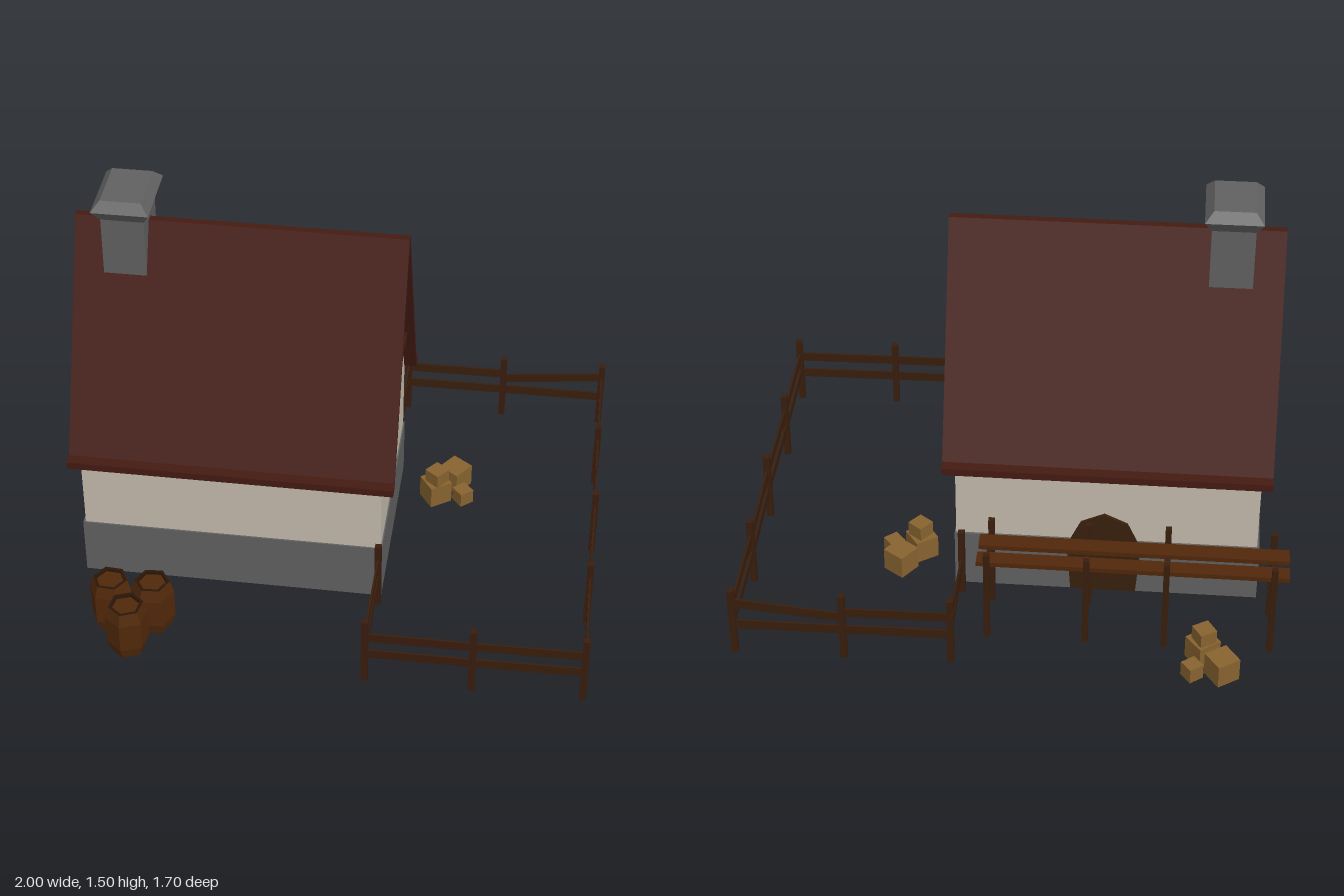
import * as THREE from 'three';

const mat = (color, side = THREE.FrontSide) =>
  new THREE.MeshStandardMaterial({ color, side, flatShading: true });
const MAT = {
  plaster: mat(0xc2b8aa, THREE.DoubleSide), stone: mat(0x606060), roof: mat(0x441a12),
  wood: mat(0x381d0c), plank: mat(0x50270a), barrel: mat(0x502809), hoop: mat(0x2b1608),
  crate: mat(0x86622f), cloth: mat(0x6a2458), door: mat(0x38200d),
};

function add(parent, name, geometry, material, x = 0, y = 0, z = 0) {
  const m = new THREE.Mesh(geometry, material);
  m.name = name;
  m.position.set(x, y, z);
  parent.add(m);
  return m;
}

// Box given by its minimum and maximum corners
function span(parent, name, material, a, b) {
  const s = b.map((v, i) => v - a[i]), c = b.map((v, i) => (v + a[i]) / 2);
  return add(parent, name, new THREE.BoxGeometry(...s), material, ...c);
}

// Shape from [z, y] points, turned so that its depth runs along +x
const sideShape = pts => new THREE.Shape(pts.map(([z, y]) => new THREE.Vector2(-z, y)));
const sideExtrude = (pts, depth) =>
  new THREE.ExtrudeGeometry(sideShape(pts), { depth, bevelEnabled: false }).rotateY(Math.PI / 2);

// Square beam between two points
function beam(parent, name, p, q, height, width, material) {
  const a = new THREE.Vector3(...p), b = new THREE.Vector3(...q);
  const m = add(parent, name, new THREE.BoxGeometry(width, height, a.distanceTo(b)), material);
  m.position.copy(a).add(b).multiplyScalar(0.5);
  m.lookAt(b);
}

function group(parent, name) {
  const g = new THREE.Group();
  g.name = name;
  parent.add(g);
  return g;
}

function buildHouse(root) {
  const house = group(root, 'house');

  // Stone footing: a ring with an open floor (outline and hole wind opposite ways)
  const rect = (C, x0, x1, z0, z1) => new C([[x0, z0], [x1, z0], [x1, z1], [x0, z1]]
    .map(([x, z]) => new THREE.Vector2(x, -z)));
  const ring = rect(THREE.Shape, -0.897, 0.218, 0.387, -0.363);
  ring.holes.push(rect(THREE.Path, -0.887, 0.208, -0.353, 0.377));
  add(house, 'footing', new THREE.ExtrudeGeometry(ring, { depth: 0.23, bevelEnabled: false })
    .rotateX(-Math.PI / 2), MAT.stone, 0, 0.02, 0);

  // Plaster gables and long walls
  const gable = [[0.381, 0.25], [0.381, 0.55], [0.016, 1.365], [-0.353, 0.55], [-0.353, 0.25]];
  for (const x of [-0.888, 0.213])
    add(house, 'gableWall', new THREE.ShapeGeometry(sideShape(gable)).rotateY(Math.PI / 2), MAT.plaster, x);
  for (const z of [0.381, -0.353])
    add(house, 'longWall', new THREE.PlaneGeometry(1.101, 0.3), MAT.plaster, -0.3375, 0.4, z)
      .rotation.y = z < 0 ? Math.PI : 0;

  // Roof: thin folded slab with flat eaves
  const c = 0.016;
  const half = [[0.014, 1.379], [0.368, 0.567], [0.411, 0.567], [0.411, 0.539], [0.362, 0.539]];
  const profile = [...half.map(([z, y]) => [c + z, y]), [c, 1.358],
    ...half.map(([z, y]) => [c - z, y]).reverse()];
  add(house, 'roof', sideExtrude(profile, 1.187), MAT.roof, -0.928);

  // Chimney shaft and flared cap
  const chimney = group(house, 'chimney');
  span(chimney, 'chimneyShaft', MAT.stone, [-0.818, 1.19, -0.083], [-0.664, 1.44, 0.11]);
  const flare = (name, top, bottom, y0, y1) => {
    const g = new THREE.BoxGeometry(1, y1 - y0, 1), p = g.attributes.position;
    for (let i = 0; i < p.count; i++) {
      const [w, d] = p.getY(i) > 0 ? top : bottom;
      p.setX(i, p.getX(i) * w);
      p.setZ(i, p.getZ(i) * d);
    }
    g.computeVertexNormals();
    add(chimney, name, g, MAT.stone, -0.741, (y0 + y1) / 2, 0.013);
  };
  flare('capUnderside', [0.205, 0.27], [0.154, 0.193], 1.42, 1.47);
  flare('capTop', [0.145, 0.21], [0.205, 0.27], 1.47, 1.505);

  // Swallowtail banner under a rod at each end
  const cloth = [[0.105, 0.885], [0.105, 0.39], [0.02, 0.463], [-0.065, 0.39], [-0.065, 0.885]];
  for (const x of [-0.892, 0.211]) {
    add(house, 'banner', sideExtrude(cloth, 0.006), MAT.cloth, x);
    const rod = x < 0 ? -0.923 : 0.21;
    span(house, 'bannerRod', MAT.wood, [rod, 0.88, -0.073], [rod + 0.038, 0.902, 0.114]);
  }

  // Arched back door, nearly flush with the footing
  const arch = [[-0.12, 0], [0.12, 0], [0.135, 0.2], [0.085, 0.31], [0, 0.35], [-0.085, 0.31], [-0.135, 0.2]];
  add(house, 'door', new THREE.ExtrudeGeometry(
    new THREE.Shape(arch.map(p => new THREE.Vector2(...p))), { depth: 0.012, bevelEnabled: false }),
  MAT.door, -0.33, 0.02, -0.366);
}

function buildFence(root) {
  const fence = group(root, 'fence');
  const posts = [[0.19, -0.39], [0.19, -0.777], [0.575, -0.782], [0.97, -0.785], [0.972, -0.395], [0.98, 0],
    [0.98, 0.397], [0.985, 0.79], [0.59, 0.797], [0.207, 0.8], [0.207, 0.405]];
  posts.forEach(([x, z], i) => {
    span(fence, 'fencePost', MAT.wood, [x - 0.012, 0, z - 0.012], [x + 0.012, 0.28, z + 0.012]);
    if (i === posts.length - 1) return;
    const [u, w] = posts[i + 1];
    // Two of the upper rails sag at one end
    const [ya, yb] = i === 0 ? [0.14, 0.2] : i === 2 ? [0.18, 0.222] : [0.203, 0.203];
    beam(fence, 'upperRail', [x, ya, z], [u, yb, w], 0.036, 0.008, MAT.wood);
    beam(fence, 'lowerRail', [x, 0.125, z], [u, 0.125, w], 0.036, 0.008, MAT.wood);
  });
}

function buildRack(root) {
  // Plank rack behind the house
  const rack = group(root, 'rack');
  for (const x of [-0.945, -0.565, -0.28, 0.075]) {
    for (const z of [-0.427, -0.628])
      span(rack, 'rackPost', MAT.wood, [x - 0.011, 0, z - 0.011], [x + 0.011, 0.375, z + 0.011]);
    span(rack, 'rackCrossbar', MAT.wood, [x - 0.009, 0.283, -0.628], [x + 0.009, 0.305, -0.427]);
  }
  for (const [a, b] of [[-0.605, -0.545], [-0.51, -0.445]])
    span(rack, 'rackPlank', MAT.plank, [-1, 0.301, a], [0.115, 0.319, b]);
}

function buildBarrels(root) {
  // Six-sided barrels with a dark rim and a recessed lid at both ends
  const lathe = pts => new THREE.LatheGeometry(pts.map(p => new THREE.Vector2(...p)), 6);
  const staves = [[0.064, 0.015], [0.078, 0.06], [0.078, 0.175], [0.064, 0.222]];
  const rims = [[[0.052, 0.027], [0.052, 0.015], [0.064, 0.015]], [[0.064, 0.222], [0.052, 0.222], [0.052, 0.21]]];
  const lids = [[[0, 0.027], [0.052, 0.027]], [[0.052, 0.21], [0, 0.21]]];
  [[-0.742, 0.642, 0.45], [-0.588, 0.635, -0.45], [-0.658, 0.768, -0.14]].forEach(([x, z, turn]) => {
    const barrel = group(root, 'barrel');
    barrel.position.set(x, 0, z);
    barrel.rotation.y = turn;
    add(barrel, 'staves', lathe(staves), MAT.barrel);
    for (const rim of rims) add(barrel, 'rim', lathe(rim), MAT.hoop);
    for (const lid of lids) add(barrel, 'lid', lathe(lid), MAT.barrel);
  });
}

function buildCrates(root) {
  // Each pile: [x, base y, z, size, turn]
  const piles = [
    [[0.43, 0.015, -0.293, 0.09, 0.95], [0.362, 0.015, -0.2, 0.09, 0.6],
      [0.468, 0.015, -0.197, 0.058, 0.7], [0.366, 0.105, -0.197, 0.065, 0.9]],
    [[-0.775, 0.015, -0.793, 0.09, 0.6], [-0.705, 0.015, -0.705, 0.09, 0.65],
      [-0.67, 0.015, -0.802, 0.058, 0.65], [-0.708, 0.105, -0.71, 0.065, 0.55]],
  ];
  for (const pile of piles) {
    const g = group(root, 'cratePile');
    for (const [x, y, z, s, turn] of pile) {
      const h = y > 0.1 ? 0.054 : s;
      add(g, 'crate', new THREE.BoxGeometry(s, h, s), MAT.crate, x, y + h / 2, z).rotation.y = turn;
    }
  }
}

export function createModel() {
  const root = new THREE.Group();
  root.name = 'farmhouse';
  buildHouse(root);
  buildFence(root);
  buildRack(root);
  buildBarrels(root);
  buildCrates(root);
  return root;
}
